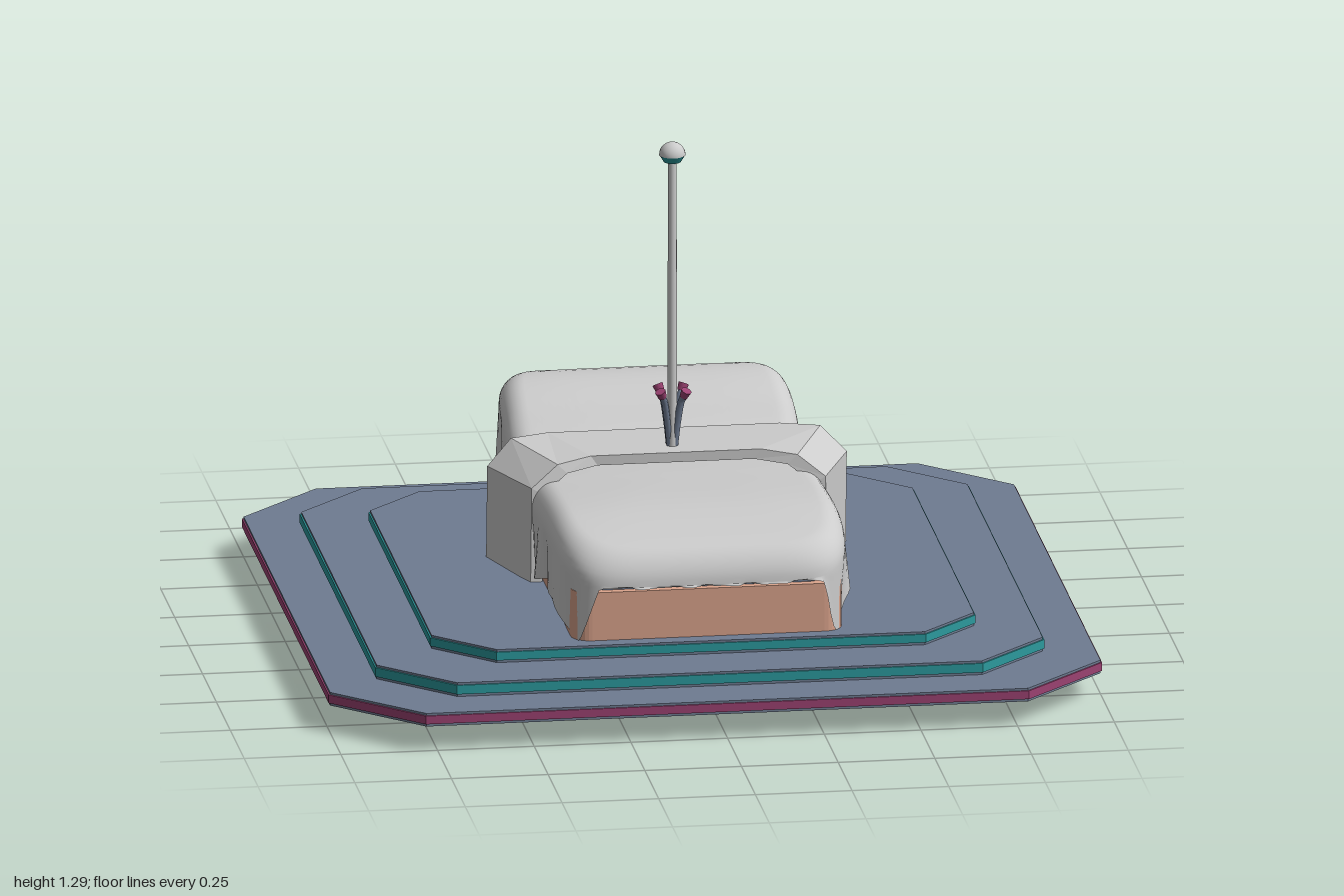
import * as THREE from 'three';

const mat = (color, extra = {}) => new THREE.MeshStandardMaterial({ color, ...extra });
const GREY = 0xcccccc, SLATE = 0x6f7c92, PEACH = 0xdba48c, TEAL = 0x2c9a9e, PINK = 0x9c4272;
const smooth = THREE.MathUtils.smoothstep, mix = THREE.MathUtils.lerp;

function add(group, name, geometry, material) {
  const mesh = new THREE.Mesh(geometry, material);
  mesh.name = name;
  group.add(mesh);
  return mesh;
}

// Flat plan shape (x, z) raised from y0 to y1
function slab(points, y0, y1) {
  const shape = new THREE.Shape(points.map(([x, z]) => new THREE.Vector2(x, -z)));
  const g = new THREE.ExtrudeGeometry(shape, { depth: y1 - y0, bevelEnabled: false });
  return g.rotateX(-Math.PI / 2).translate(0, y0, 0);
}

// Square with cut corners
const octagon = (r, c) => [[r, c], [c, r], [-c, r], [-r, c], [-r, -c], [-c, -r], [c, -r], [r, -c]];

// Rounded plan with separate front and back corner radii
function roundedPlan(w, front, back, rf, rb) {
  const pts = [];
  const corners = [[w - rf, front - rf, rf, 0], [rf - w, front - rf, rf, 1], [rb - w, back + rb, rb, 2], [w - rb, back + rb, rb, 3]];
  for (const [cx, cz, r, q] of corners)
    for (let i = 0; i <= 8; i++) {
      const a = (q + i / 8) * Math.PI / 2;
      pts.push([cx + r * Math.cos(a), cz + r * Math.sin(a)]);
    }
  return pts;
}

// Eased lookup in a list of [position, value], positions descending
function profile(list, z) {
  if (z >= list[0][0]) return list[0][1];
  for (let i = 1; i < list.length; i++) {
    const [z0, v0] = list[i - 1], [z1, v1] = list[i];
    if (z >= z1) {
      const prev = list[Math.max(i - 2, 0)], next = list[Math.min(i + 1, list.length - 1)];
      const t = (z - z0) / (z1 - z0), d = z1 - z0;
      const m0 = d * (v1 - prev[1]) / (z1 - prev[0]), m1 = d * (next[1] - v0) / (next[0] - z0);
      return (2 * t ** 3 - 3 * t * t + 1) * v0 + (t ** 3 - 2 * t * t + t) * m0 + (3 * t * t - 2 * t ** 3) * v1 + (t ** 3 - t * t) * m1;
    }
  }
  return list[list.length - 1][1];
}

// Draped sheet: rings from the middle outwards, over a soft edge and down to the hem
function drape() {
  const TOP = [[0.7, 0.4], [0.6, 0.43], [0.4, 0.455], [0.1, 0.44], [-0.1, 0.425], [-0.22, 0.425], [-0.3, 0.44], [-0.39, 0.495], [-0.5, 0.526], [-0.6, 0.52], [-0.7, 0.485]];
  const HEM = [[0.7, 0.16], [0.62, 0.175], [0.48, 0.237], [0.13, 0.22], [-0.13, 0.22], [-0.3, 0.25], [-0.5, 0.32], [-0.62, 0.235]];
  const N = 240, FLAT = 20, EDGE = 8, FALL = 10, R = FLAT + EDGE + FALL;
  const pos = [], idx = [];
  for (let i = 0; i <= R; i++)
    for (let j = 0; j < N; j++) {
      const a = j / N * Math.PI * 2, c = Math.cos(a), s = Math.sin(a);
      const k = 1 / Math.pow(Math.abs(c) ** 7 + Math.abs(s) ** 7, 1 / 7);
      const ex = 0.38 * k * c, ez = 0.7 * k * s;
      const e = THREE.MathUtils.clamp((i - FLAT) / EDGE, 0, 1) * Math.PI / 2;
      const fall = Math.max(0, (i - FLAT - EDGE) / FALL);
      const inset = 0.06 * (1 - Math.sin(e));
      const grow = Math.min(i / FLAT, 1);
      const ripple = 0.011 * (Math.sin(a * 23) + 0.6 * Math.sin(a * 41 + 1)) * fall;
      const x = (ex - inset * ex / 0.38) * grow + ripple * c;
      const z = (ez - inset * ez / 0.7) * grow + ripple * 0.5 * s;
      let hem = profile(HEM, ez);
      if (Math.abs(s) > Math.abs(c)) hem = mix(ez > 0 ? 0.34 : 0.4, hem, smooth(Math.abs(ex), 0.27, 0.335));
      hem += 0.006 * Math.sin(a * 31);
      const brow = profile(TOP, z) - 0.07 * (1 - Math.cos(e)) - 0.008 * grow * grow;
      pos.push(x, mix(brow, Math.min(hem, brow - 0.005), fall), z);
      if (i < R) {
        const p = i * N + j, q = i * N + (j + 1) % N;
        idx.push(p, p + N === q ? q : q + N, p + N, p, q, q + N);
      }
    }
  const g = new THREE.BufferGeometry();
  g.setAttribute('position', new THREE.Float32BufferAttribute(pos, 3));
  g.setIndex(idx);
  g.computeVertexNormals();
  return g;
}

// Faceted sleeve wrapped round the middle, wider towards the back
function sleeve() {
  const half = {
    front: [[0.22, 0.485, 0.07], [0.31, 0.475, 0.1], [0.38, 0.42, 0.12], [0.385, 0.1, 0.13], [0.34, 0.058, 0.13]],
    back: [[0.3, 0.485, -0.15], [0.4, 0.485, -0.115], [0.465, 0.42, -0.09], [0.465, 0.1, -0.115], [0.42, 0.058, -0.07]],
  };
  const loop = h => [...h, ...h.map(([x, y, z]) => [-x, y, z]).reverse()];
  const shrink = l => l.map(([x, y, z]) => [x * 0.92, mix(0.27, y, 0.88), z]);
  const f = loop(half.front), b = loop(half.back);
  const loops = [f, b, shrink(b), shrink(f)], n = f.length, pos = [];
  for (let r = 0; r < 4; r++)
    for (let i = 0; i < n; i++) {
      const A = loops[r], B = loops[(r + 1) % 4], j = (i + 1) % n;
      pos.push(...A[i], ...A[j], ...B[j], ...A[i], ...B[j], ...B[i]);
    }
  const g = new THREE.BufferGeometry();
  g.setAttribute('position', new THREE.Float32BufferAttribute(pos, 3));
  g.computeVertexNormals();
  return g;
}

export function createModel() {
  const model = new THREE.Group();
  model.name = 'coveredDisplay';

  // Three stepped platform tiers with coloured rims
  const tiers = [[1, 0.78, 0.065, 0.1, PINK], [0.865, 0.68, 0.1, 0.137, TEAL], [0.705, 0.555, 0.137, 0.172, TEAL]];
  tiers.forEach(([r, c, y0, y1, rim], i) => {
    add(model, 'platformTier' + (i + 1), slab(octagon(r - 0.004, c - 0.002), y0, y1), mat(SLATE));
    add(model, 'tierRim' + (i + 1), slab(octagon(r, c), y0 + 0.007, y1 - 0.006), mat(rim));
  });

  // Body under the sheet, rising towards the back
  const lift = g => {
    const p = g.attributes.position;
    for (let i = 0; i < p.count; i++)
      if (p.getY(i) > 0.25) p.setY(i, p.getY(i) + 0.07 * smooth(-p.getZ(i), 0.1, 0.6));
    g.computeVertexNormals();
    return g;
  };
  add(model, 'body', lift(slab(roundedPlan(0.35, 0.66, -0.68, 0.05, 0.14), 0.165, 0.3)), mat(PEACH));
  add(model, 'bodyTop', lift(slab(roundedPlan(0.31, 0.64, -0.66, 0.05, 0.12), 0.29, 0.345)), mat(SLATE));

  add(model, 'sheet', drape(), mat(GREY, { side: THREE.DoubleSide }));
  add(model, 'sleeve', sleeve(), mat(GREY, { flatShading: true, side: THREE.DoubleSide }));

  // Pole with a domed cap
  add(model, 'pole', new THREE.CylinderGeometry(0.011, 0.013, 0.78, 12), mat(GREY)).position.set(0, 0.865, 0.005);
  const cap = new THREE.SphereGeometry(0.034, 20, 10, 0, Math.PI * 2, 0, Math.PI / 2);
  add(model, 'poleCap', cap, mat(GREY)).position.set(0, 1.262, 0.005);
  add(model, 'capRing', new THREE.CylinderGeometry(0.033, 0.022, 0.018, 20), mat(TEAL)).position.set(0, 1.253, 0.005);

  // Four flared prongs with coloured tips round the foot of the pole
  for (let i = 0; i < 4; i++) {
    const prong = new THREE.Group();
    prong.name = 'prong' + (i + 1);
    const path = new THREE.CatmullRomCurve3([[0.008, 0.48], [0.02, 0.56], [0.034, 0.615], [0.048, 0.63]].map(([x, y]) => new THREE.Vector3(x, y, 0)));
    add(prong, 'prongStem', new THREE.TubeGeometry(path, 10, 0.009, 6), mat(SLATE));
    const tip = add(prong, 'prongTip', new THREE.CylinderGeometry(0.014, 0.011, 0.02, 8), mat(PINK));
    tip.position.set(0.043, 0.629, 0);
    tip.rotation.z = -0.5;
    prong.rotation.y = 0.75 + i * Math.PI / 2;
    model.add(prong);
  }

  // Round mount under the platform with thin splayed feet
  add(model, 'mountDisc', new THREE.CylinderGeometry(0.11, 0.1, 0.012, 32), mat(GREY)).position.set(0.01, 0.054, 0.02);
  const ring = add(model, 'mountRing', new THREE.TorusGeometry(0.085, 0.006, 6, 32), mat(GREY));
  ring.rotation.x = Math.PI / 2;
  ring.position.set(0.01, 0.048, 0.02);
  for (const z of [0.045, -0.035]) {
    const pts = [[-0.05, 0.002], [-0.03, 0.046], [0.11, 0.046], [0.13, 0.002]].map(([x, y]) => new THREE.Vector3(x, y, z));
    const path = new THREE.CurvePath();
    for (let i = 0; i < 3; i++) path.add(new THREE.LineCurve3(pts[i], pts[i + 1]));
    add(model, 'mountFoot', new THREE.TubeGeometry(path, 24, 0.002, 5), mat(GREY));
  }
  return model;
}
